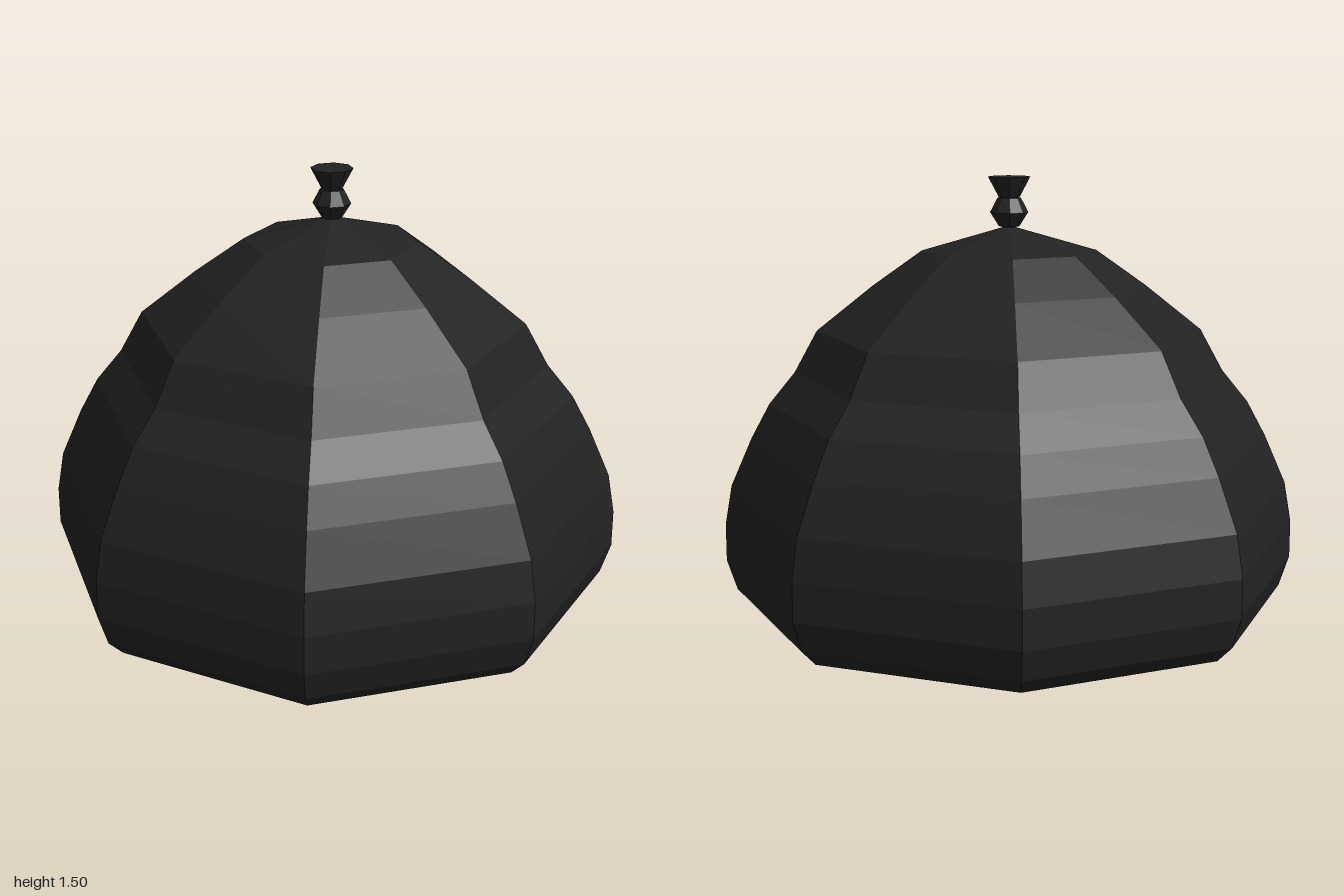
import * as THREE from 'three';

const SIDES = 8;
const material = new THREE.MeshStandardMaterial({ color: 0x222222, flatShading: true });

// Faceted solid of revolution from [radius, height] pairs, bottom to top
function turned(name, profile) {
  const points = profile.map(([r, y]) => new THREE.Vector2(r, y));
  const mesh = new THREE.Mesh(new THREE.LatheGeometry(points, SIDES), material);
  mesh.name = name;
  return mesh;
}

export function createModel() {
  const model = new THREE.Group();
  model.name = 'domedLid';

  // Eight-sided dome with a flat closed base and a flared shoulder
  const dome = turned('dome', [
    [0, 0], [0.91, 0], [0.965, 0.055], [1, 0.16], [1, 0.29], [0.975, 0.43],
    [0.9, 0.6], [0.835, 0.72], [0.745, 0.83], [0.665, 0.975],
    [0.47, 1.13], [0.3, 1.25], [0, 1.335],
  ]);
  dome.scale.z = 0.987;
  model.add(dome);

  // Knob: small faceted bead carrying an upturned cone
  const knob = new THREE.Group();
  knob.name = 'knob';
  knob.add(turned('knobBead', [
    [0, 1.325], [0.035, 1.332], [0.065, 1.38], [0.04, 1.428], [0, 1.435],
  ]));
  knob.add(turned('knobFlare', [
    [0, 1.425], [0.035, 1.43], [0.072, 1.5], [0, 1.5],
  ]));
  model.add(knob);

  return model;
}
